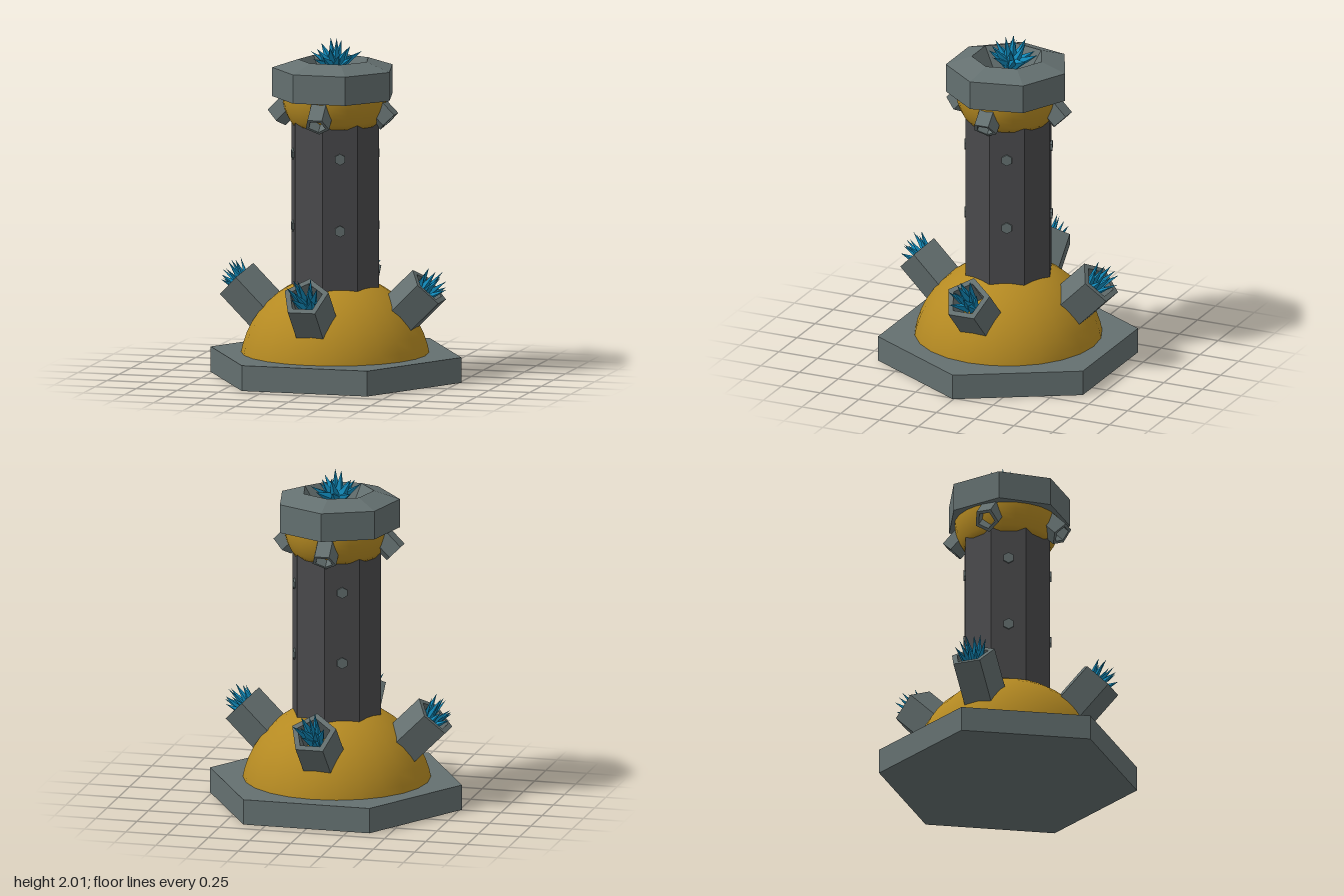
import * as THREE from 'three';
import { mergeGeometries } from 'three/addons/utils/BufferGeometryUtils.js';

const mat = (color, flatShading = true, side = THREE.FrontSide) =>
  new THREE.MeshStandardMaterial({ color, flatShading, side });
const stone = mat(0x647070, true, THREE.DoubleSide);
const iron = mat(0x4a4a4c);
const gold = mat(0xb58a22, false);
const blue = mat(0x1088b8);

function mesh(name, geometry, material, x = 0, y = 0, z = 0) {
  const m = new THREE.Mesh(geometry, material);
  m.name = name;
  m.position.set(x, y, z);
  return m;
}

const lathe = (points, sides) =>
  new THREE.LatheGeometry(points.map(([r, y]) => new THREE.Vector2(r, y)), sides);

// Spiky cluster: rings of four-sided spikes fanning out from the origin
// rings: [count, tilt, length, base offset from the axis]
function crystals(rings, width, seed) {
  const rand = () => (seed = (seed * 16807) % 2147483647) / 2147483647;
  const spikes = [];
  for (const [count, tilt, length, offset] of rings) {
    for (let i = 0; i < count; i++) {
      const h = length * (0.82 + 0.18 * rand());
      const spike = new THREE.ConeGeometry(width * (0.8 + 0.4 * rand()), h, 4);
      spike.rotateY(rand() * 3).translate(0, h / 2, 0);
      spike.rotateX(tilt * (0.85 + 0.3 * rand())).translate(0, 0, offset);
      spike.rotateY(((i + 0.5 * rand()) / count) * Math.PI * 2 + tilt);
      spikes.push(spike);
    }
  }
  return mergeGeometries(spikes);
}

// Hollow five-sided tube, its open end at the origin facing +y
const tube = (r, inner, length) =>
  lathe([[inner, -length], [r, -length], [r, 0], [inner, 0], [inner, -length]], 5);

export function createModel() {
  const g = new THREE.Group();
  g.name = 'crystalPillar';

  // Hexagonal plinth and the dome on it
  const base = new THREE.CylinderGeometry(0.763, 0.763, 0.15, 6);
  g.add(mesh('base', base.rotateY(Math.PI / 6), stone, 0, 0.075, 0.005));
  g.add(mesh('dome',
    new THREE.SphereGeometry(0.56, 24, 12, 0, Math.PI * 2, 0, Math.PI / 2), gold, -0.005, 0.05, 0.005));

  // Octagonal column with rivets on every other face
  g.add(mesh('column', new THREE.CylinderGeometry(0.267, 0.267, 1.1, 8), iron, -0.005, 1.05, 0.003));
  for (let i = 0; i < 4; i++) {
    for (const y of [0.9, 1.325]) {
      const rivet = new THREE.CylinderGeometry(0.034, 0.034, 0.03, 6).rotateX(Math.PI / 2);
      rivet.translate(0, 0, 0.242).rotateY(Math.PI / 8 + (i * Math.PI) / 2);
      g.add(mesh('rivet', rivet, stone, -0.005, y, 0.003));
    }
  }

  // Gold bowl under the cap
  const arc = [[0.001, 1.5]];
  for (let i = 0; i <= 6; i++) {
    const y = 1.5 + 0.03 * i;
    arc.push([Math.sqrt(0.31 ** 2 - (1.68 - y) ** 2), y]);
  }
  g.add(mesh('bowl', lathe(arc, 24), gold, -0.005, 0, 0.003));
  g.add(mesh('bowlFloor', new THREE.CircleGeometry(0.25, 24).rotateX(-Math.PI / 2), gold, 0, 1.74, 0));

  // Seven-sided cap with a bevelled top and a funnel-shaped hole
  const cap = lathe(
    [[0.2, 1.66], [0.366, 1.66], [0.366, 1.83], [0.214, 1.88], [0.12, 1.73]], 7);
  g.add(mesh('cap', cap.rotateY(Math.PI), stone, -0.008, 0, 0.006));
  g.add(mesh('topCrystals',
    crystals([[9, 1.1, 0.18, 0.01], [6, 0.6, 0.175, 0.015], [2, 0.12, 0.185, 0.01]], 0.036, 77),
    blue, -0.01, 1.83, -0.01));

  // Four sockets with crystals on the dome, four small ones below the cap
  for (let i = 0; i < 4; i++) {
    const arm = new THREE.Group();
    arm.name = 'socketArm';
    arm.position.set(-0.018, 0, 0.006);
    arm.rotation.y = (i * Math.PI) / 2;

    const big = new THREE.Group();
    big.name = 'socket';
    big.position.set(0, 0.556, 0.584);
    big.rotation.x = Math.PI / 4;
    big.add(mesh('socketTube', tube(0.14, 0.103, 0.32).rotateY(Math.PI), stone));
    big.add(mesh('socketCrystals',
      crystals([[6, 0.42, 0.185, 0.025], [4, 0.2, 0.2, 0.015]], 0.03, 311 + i * 97), blue, 0, -0.08, 0));

    const small = mesh('smallSocket', tube(0.075, 0.053, 0.15), stone, 0, 1.53, 0.342);
    small.rotation.x = Math.PI * 0.75;
    arm.add(big, small);
    g.add(arm);
  }
  return g;
}
